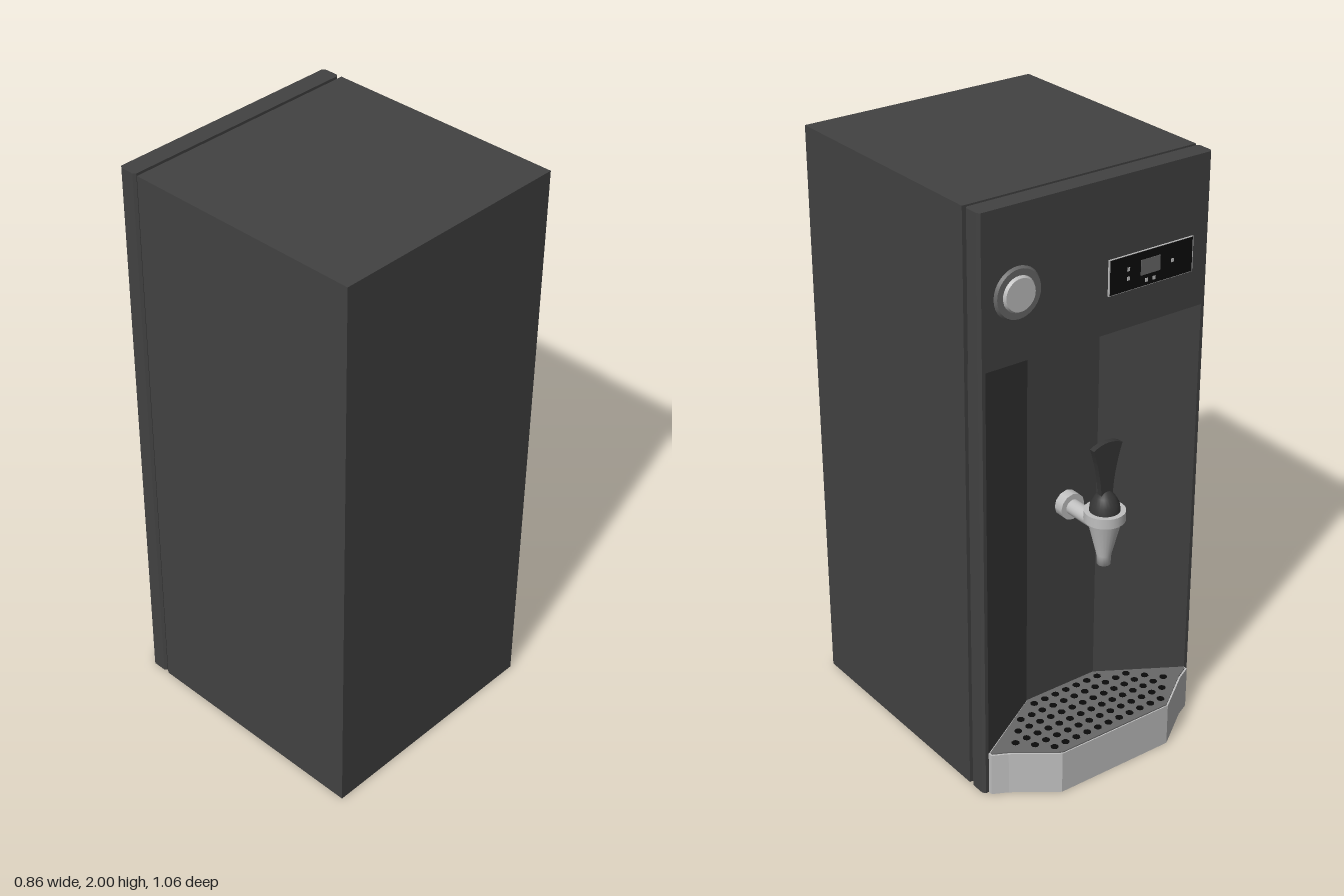
import * as THREE from 'three';

const mat = (name, color, side = THREE.FrontSide) => {
  const m = new THREE.MeshStandardMaterial({ color, side });
  m.name = name;
  return m;
};

export function createModel() {
  const root = new THREE.Group();
  const charcoal = mat('charcoal casing', 0x424242);
  const silver = mat('silver', 0xc0c0c0);
  const grillGrey = mat('grill grey', 0x686868);
  const black = mat('black', 0x0a0a0a);
  const handleGrey = mat('handle grey', 0x363636);

  const add = (name, geo, material, x = 0, y = 0, z = 0, parent = root) => {
    const m = new THREE.Mesh(geo, material);
    m.name = name;
    m.position.set(x, y, z);
    parent.add(m);
    return m;
  };

  // Upright prism from a half outline of [x, z] points, mirrored in x
  const prism = (half, y0, y1) => {
    const pts = [...half, ...half.map(([x, z]) => [-x, z]).reverse()];
    const shape = new THREE.Shape(pts.map(([x, z]) => new THREE.Vector2(x, -z)));
    const g = new THREE.ExtrudeGeometry(shape, { depth: y1 - y0, bevelEnabled: false });
    return g.rotateX(-Math.PI / 2).translate(0, y0, 0);
  };

  // Niche half width: tapers from the opening to the back wall
  const OPEN = 0.41, BACK = 0.14, zOpen = -0.39, zBack = -0.23, nicheTop = 1.505;
  const nicheHalf = z => BACK + (OPEN - BACK) * (zBack - z) / (zBack - zOpen);

  // Cabinet with the niche cut into its lower part
  add('cabinetLower', prism([[0.43, 0.53], [0.43, -0.312], [nicheHalf(-0.312), -0.312], [BACK, zBack]], 0, nicheTop), charcoal);
  add('cabinetUpper', new THREE.BoxGeometry(0.86, 2 - nicheTop, 0.842), charcoal, 0, (2 + nicheTop) / 2, 0.109);

  // Niche liner and door posts on both sides of the opening
  const mirrorPost = (name, pts, y0, y1) => {
    for (const s of [1, -1]) {
      const shape = new THREE.Shape(pts.map(([x, z]) => new THREE.Vector2(s * x, -z)));
      const g = new THREE.ExtrudeGeometry(shape, { depth: y1 - y0, bevelEnabled: false });
      add(name, g.rotateX(-Math.PI / 2).translate(0, y0, 0), charcoal);
    }
  };
  mirrorPost('nicheLiner', [[0.418, -0.312], [0.418, -0.324], [nicheHalf(-0.324), -0.324], [nicheHalf(-0.312), -0.312]], 0, nicheTop);
  mirrorPost('doorPost', [[0.422, -0.324], [0.43, -0.332], [0.43, -0.38], [0.422, zOpen], [OPEN, zOpen], [nicheHalf(-0.324), -0.324]], 0, nicheTop);

  // Upper door panel
  add('controlPanel', prism([[0.422, -0.324], [0.43, -0.332], [0.43, -0.38], [0.422, -0.39]], nicheTop, 2), charcoal);

  // Drip tray, filling the niche floor and standing out in front
  const tray = [[BACK, zBack], [OPEN, zOpen], [OPEN, -0.405], [0.36, -0.43], [0.22, -0.53]];
  add('dripTray', prism(tray, 0, 0.152), silver);
  add('dripGrill', prism(tray.map(([x, z]) => [x * 0.985, z + (z < -0.4 ? 0.004 : -0.002)]), 0.151, 0.156), grillGrey);
  const grillHalf = z => {
    if (z > zOpen) return nicheHalf(z);
    if (z > -0.43) return 0.37;
    return 0.36 - 0.14 * (-0.43 - z) / 0.1;
  };
  const holes = new THREE.Group();
  holes.name = 'grillHoles';
  root.add(holes);
  const holeGeo = new THREE.CylinderGeometry(0.013, 0.013, 0.003, 10);
  for (let row = 0; row < 6; row++) {
    const z = -0.49 + row * 0.0455;
    for (let i = -8; i <= 8; i++) {
      const x = i * 0.0443;
      if (Math.abs(x) < grillHalf(z) - 0.045) add('grillHole', holeGeo, black, x, 0.156, z, holes);
    }
  }

  // Round button
  const disc = (r1, r2, h) => new THREE.CylinderGeometry(r1, r2, h, 32).rotateX(-Math.PI / 2);
  add('buttonRing', disc(0.078, 0.085, 0.01), grillGrey, 0.295, 1.727, -0.394);
  add('buttonFace', disc(0.052, 0.062, 0.016), silver, 0.295, 1.727, -0.4);

  // Display with its screen and small keys
  add('displayFrame', new THREE.BoxGeometry(0.326, 0.116, 0.006), silver, -0.2, 1.687, -0.392);
  add('displayFace', new THREE.BoxGeometry(0.318, 0.112, 0.004), black, -0.2, 1.687, -0.394);
  add('displayScreen', new THREE.BoxGeometry(0.075, 0.05, 0.003), grillGrey, -0.195, 1.692, -0.396);
  for (const [x, y] of [[-0.11, 1.7], [-0.11, 1.67], [-0.28, 1.687], [-0.18, 1.648], [-0.21, 1.648]])
    add('displayKey', new THREE.BoxGeometry(0.01, 0.012, 0.003), silver, x, y, -0.396);

  // Tap: cup, shank and wall nut
  const tap = new THREE.Group();
  tap.name = 'tap';
  tap.position.set(-0.015, 0, -0.427);
  root.add(tap);
  const lathe = pts => new THREE.LatheGeometry(pts.map(p => new THREE.Vector2(...p)), 24);
  add('tapCup', lathe([[0, 0.73], [0.022, 0.73], [0.024, 0.765], [0.055, 0.89]]), silver, 0, 0, 0, tap);
  add('tapRim', new THREE.CylinderGeometry(0.067, 0.067, 0.034, 24), silver, 0, 0.908, 0, tap);
  add('tapShank', new THREE.CylinderGeometry(0.026, 0.026, 0.2, 20).rotateX(Math.PI / 2), silver, 0, 0.86, 0.1, tap);
  add('tapNut', new THREE.CylinderGeometry(0.046, 0.046, 0.035, 12).rotateX(Math.PI / 2), silver, 0, 0.86, 0.178, tap);

  // Tap handle: dome and flared paddle
  add('handleDome', lathe([[0.05, 0.924], [0.046, 0.95], [0.032, 0.975], [0.014, 0.992], [0, 0.994]]), handleGrey, 0, 0, 0, tap);
  const paddle = new THREE.Shape();
  paddle.moveTo(-0.022, 0.96);
  paddle.lineTo(0.022, 0.96);
  paddle.quadraticCurveTo(0.022, 1.05, 0.056, 1.15);
  paddle.quadraticCurveTo(0, 1.18, -0.056, 1.15);
  paddle.quadraticCurveTo(-0.022, 1.05, -0.022, 0.96);
  add('handlePaddle', new THREE.ExtrudeGeometry(paddle, { depth: 0.02, bevelEnabled: false, curveSegments: 8 }), handleGrey, 0, 0, -0.01, tap);

  return root;
}
